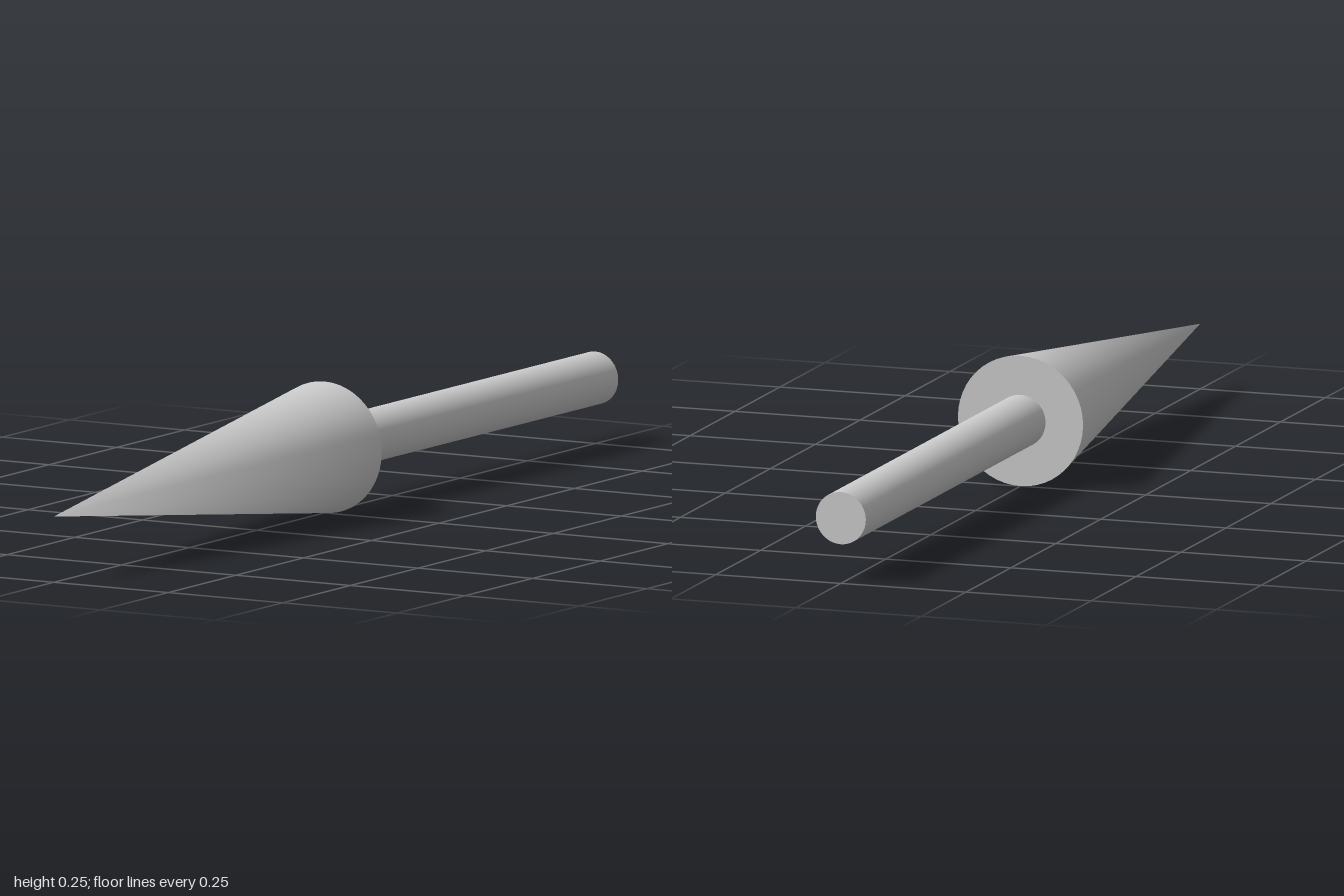
import * as THREE from 'three';

const SIDES = 48;
const HEAD_RADIUS = 0.125;
const SHAFT_RADIUS = 0.05;
const LENGTH = 1; // head and shaft are equally long

export function createModel() {
  const group = new THREE.Group();
  group.name = 'arrow';
  const material = new THREE.MeshStandardMaterial({ color: 0xcccccc });

  // Lays a y-aligned geometry along z at the arrow's axis height
  const addPart = (name, geometry, z) => {
    geometry.rotateX(Math.PI / 2);
    const mesh = new THREE.Mesh(geometry, material);
    mesh.name = name;
    mesh.position.set(0, HEAD_RADIUS, z);
    group.add(mesh);
  };

  // Pointed head: normals blend from radial at the base to axial at the tip
  const head = new THREE.ConeGeometry(HEAD_RADIUS, LENGTH, SIDES);
  const { position, normal } = head.attributes;
  for (let i = 0; i < position.count; i++) {
    if (position.getY(i) > 0) normal.setXYZ(i, 0, 1, 0);
  }
  addPart('arrowHead', head, LENGTH / 2);

  // Straight round shaft behind the head
  addPart('shaft', new THREE.CylinderGeometry(SHAFT_RADIUS, SHAFT_RADIUS, LENGTH, SIDES), -LENGTH / 2);

  return group;
}
